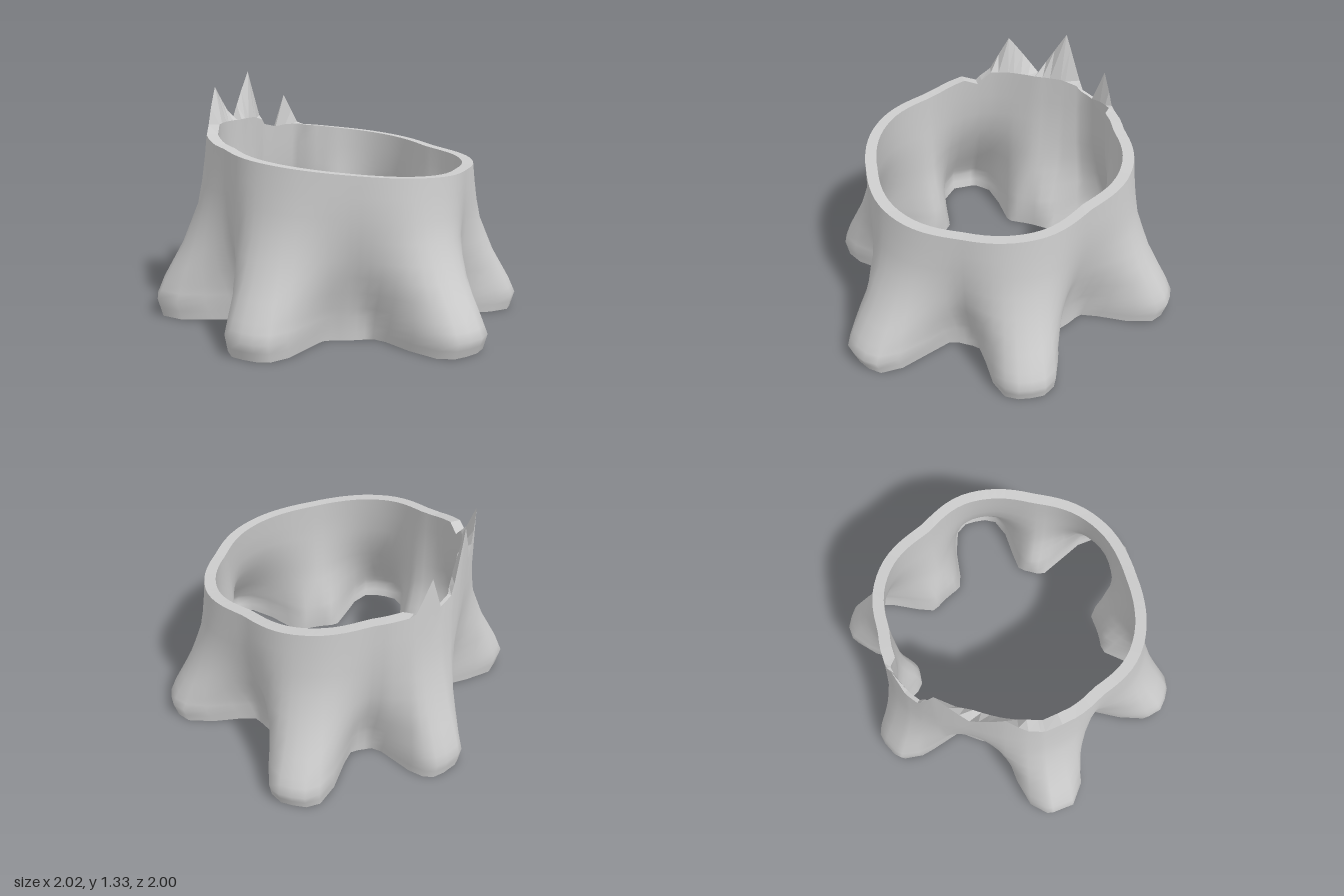
import * as THREE from 'three';

// Roots: [angle in degrees, reach at the foot, radius at the rim]
const ROOTS = [[43, 1.085, 0.775], [107, 1.03, 0.768], [162.5, 1.04, 0.74], [230.5, 0.945, 0.735],
  [284, 1.025, 0.735], [348.7, 1.02, 0.757]];
// Grooves between the roots: [angle, radius at the rim, radius at the ground]
const GROOVES = [[-43, 0.69, 0.57], [17, 0.735, 0.62], [75, 0.745, 0.62], [134, 0.71, 0.6],
  [195, 0.7, 0.57], [255.5, 0.695, 0.57], [317, 0.69, 0.57]];
// Root flare over the height: [fraction of height, amount]
const FLARE = [[0, 0.9], [0.1, 1], [0.2, 0.86], [0.4, 0.49], [0.62, 0.19], [0.8, 0.07], [1, 0]];
// Root breadth over the height: [fraction of height, half width in degrees, squareness]
const BREADTH = [[0, 14.5, 4], [0.2, 16, 3.2], [0.45, 20, 2.5], [1, 24, 2.5]];
// Splintered stretch of the rim: [angle, outer height, inner height, thickness]
const SPLINTERS = [[148, 0.985, 0.985, 0.062], [158, 1.01, 1.01, 0.062], [165, 0.975, 0.975, 0.062],
  [167, 1.0, 1.0, 0.062], [172, 1.05, 1.05, 0.062], [181, 1.255, 1.055, 0.062], [196, 1.055, 1.055, 0.062],
  [209.7, 1.33, 1.055, 0.05], [217.5, 1.055, 1.03, 0.03], [219.5, 1.0, 1.0, 0.02], [226.5, 0.98, 0.98, 0.02],
  [232, 1.175, 0.99, 0.02], [239, 1.0, 0.99, 0.02], [242, 0.985, 0.985, 0.062]];
const ROWS = [0, 0.05, 0.1, 0.15, 0.2, 0.3, 0.4, 0.5, 0.62, 0.75, 0.88, 1];

const lerp = THREE.MathUtils.lerp;
const smooth = (k) => k * k * (3 - 2 * k);
const splintered = (deg) => deg >= 148 && deg <= 242;

// Interpolates column c of a sorted table
function sample(table, v, c = 1, ease = (k) => k) {
  let i = 0;
  while (i < table.length - 2 && v > table[i + 1][0]) i++;
  const k = THREE.MathUtils.clamp((v - table[i][0]) / (table[i + 1][0] - table[i][0]), 0, 1);
  return lerp(table[i][c], table[i + 1][c], ease(k));
}

// Outer radius at an angle and fraction of height
function radius(deg, t) {
  const a = deg > 317 ? deg - 360 : deg;
  const rim = sample(GROOVES, a, 1, smooth);
  const ground = sample(GROOVES, a, 2, smooth);
  const base = lerp(ground, rim, smooth(Math.min(t / 0.85, 1)));
  const width = sample(BREADTH, t, 1), power = sample(BREADTH, t, 2);
  let r = base;
  for (const [angle, reach, top] of ROOTS) {
    const d = Math.abs(((deg - angle + 540) % 360) - 180);
    const crest = lerp(top, reach, sample(FLARE, t));
    r = Math.max(r, base + (crest - base) * Math.exp(-Math.pow(d / width, power)));
  }
  return r;
}

// Slanted cut across the top
function cutHeight(deg) {
  const a = THREE.MathUtils.degToRad(deg);
  return 0.925 - 0.081 * Math.cos(a) - 0.026 * Math.sin(a);
}

// Angles: even steps plus the corners of the splinters
const CORNERS = SPLINTERS.map((s) => s[0]);
const ANGLES = [
  ...Array.from({ length: 90 }, (_, i) => i * 4).filter((a) => CORNERS.every((c) => Math.abs(c - a) > 2)),
  ...CORNERS,
].sort((a, b) => a - b);

function ring(t, inner) {
  return ANGLES.map((deg) => {
    const a = THREE.MathUtils.degToRad(deg);
    const broken = splintered(deg);
    const thickness = broken ? sample(SPLINTERS, deg, 3) : 0.062;
    const r = radius(deg, t) - (inner ? lerp(0.006, thickness, Math.min(t * 1.5, 1)) : 0);
    const y = t === 1 && broken ? sample(SPLINTERS, deg, inner ? 2 : 1) : t * cutHeight(deg);
    return [r * Math.cos(a), y, r * Math.sin(a)];
  });
}

// Joins closed rings into one surface
function loft(rings, flat = false) {
  const n = ANGLES.length;
  const index = [];
  for (let j = 0; j < rings.length - 1; j++) {
    for (let i = 0; i < n; i++) {
      const a = j * n + i, c = j * n + (i + 1) % n;
      index.push(a, a + n, c, c, a + n, c + n);
    }
  }
  let g = new THREE.BufferGeometry();
  g.setAttribute('position', new THREE.Float32BufferAttribute(rings.flat(2), 3));
  g.setIndex(index);
  if (flat) g = g.toNonIndexed();
  g.computeVertexNormals();
  return g;
}

export function createModel() {
  const group = new THREE.Group();
  group.name = 'hollowTreeStump';
  const wood = new THREE.MeshStandardMaterial({ color: 0xcccccc });
  wood.name = 'grey wood';

  const outer = ROWS.map((t) => ring(t, false));
  const inner = ROWS.map((t) => ring(t, true)).reverse();
  const parts = {
    barkAndRoots: loft(outer),
    splinteredRim: loft([outer[outer.length - 1], inner[0]], true),
    hollowInside: loft(inner),
    groundEdge: loft([inner[inner.length - 1], outer[0]], true),
  };
  for (const [name, geometry] of Object.entries(parts)) {
    const mesh = new THREE.Mesh(geometry, wood);
    mesh.name = name;
    group.add(mesh);
  }
  return group;
}
